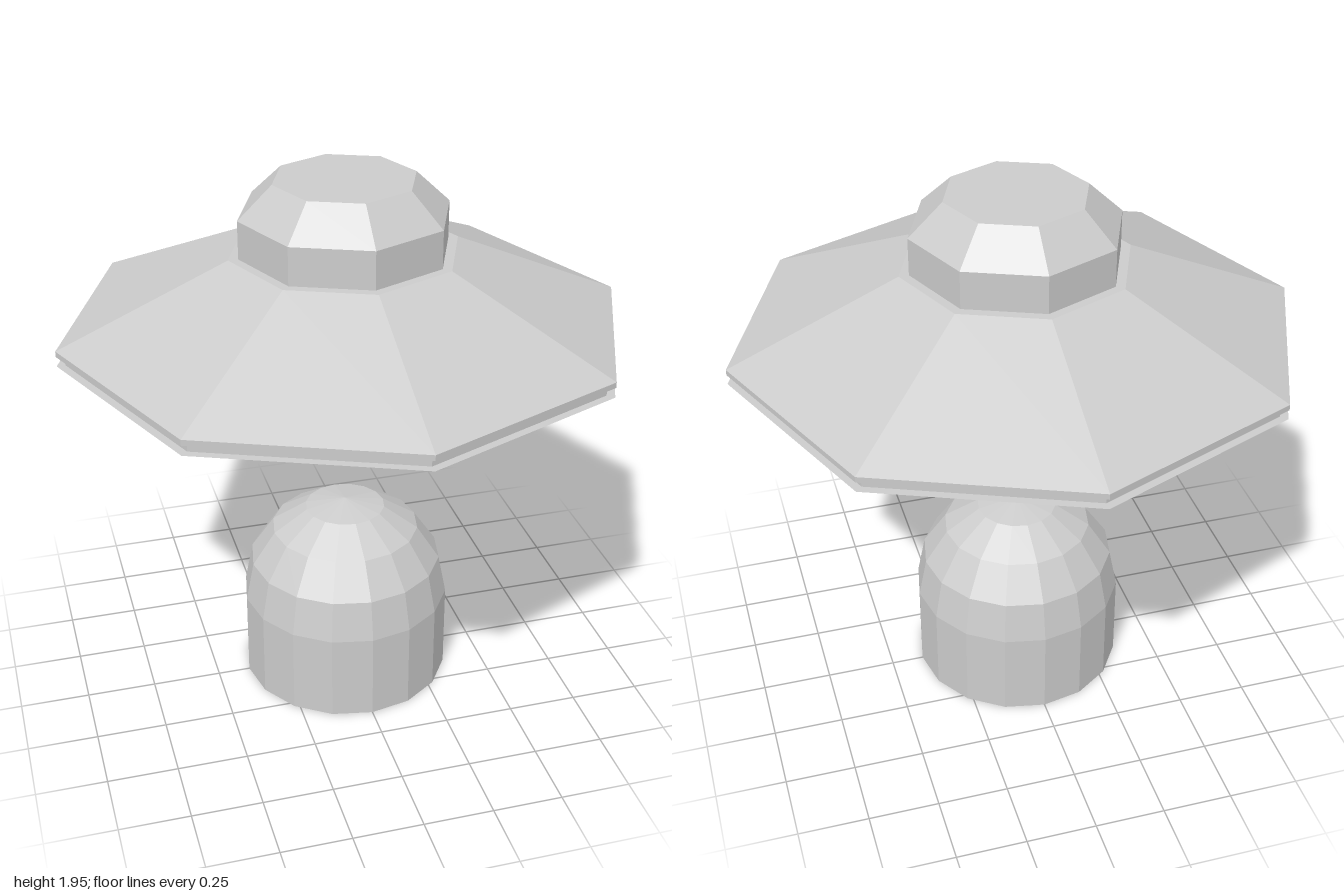
import * as THREE from 'three';

const material = new THREE.MeshStandardMaterial({
  color: 0xcccccc, flatShading: true, side: THREE.DoubleSide,
});

// Faceted solid of revolution; profile is [radius, y] pairs running upwards
function turned(name, sides, profile) {
  const points = profile.map(([r, y]) => new THREE.Vector2(r, y));
  const geometry = new THREE.LatheGeometry(points, sides).toNonIndexed();
  geometry.computeVertexNormals();
  const mesh = new THREE.Mesh(geometry, material);
  mesh.name = name;
  return mesh;
}

export function createModel() {
  const model = new THREE.Group();
  model.name = 'saucerAndPod';

  const saucer = new THREE.Group();
  saucer.name = 'saucer';
  saucer.add(
    // Recessed belly hatch with a raised ring, sloping underside, grooved rim and upper slope
    turned('hull', 8, [
      [0, 1.256], [0.42, 1.256], [0.42, 1.23], [0.48, 1.23], [0.48, 1.256],
      [0.95, 1.36], [1, 1.38], [0.97, 1.38], [0.97, 1.415],
      [1, 1.415], [1, 1.435], [0.405, 1.695], [0, 1.695],
    ]),
    // Upright wall of the cabin
    turned('cabinWall', 8, [[0.37, 1.695], [0.37, 1.83]]),
    // Sloping roof with a flat top
    turned('cabinRoof', 8, [[0.37, 1.83], [0.25, 1.945], [0, 1.945]]),
  );

  // Hollow domed pod, open at the bottom
  const pod = turned('pod', 16, [
    [0.382, 0], [0.382, 0.325], [0.353, 0.473], [0.27, 0.597], [0.146, 0.679], [0, 0.707],
  ]);

  model.add(saucer, pod);
  return model;
}
